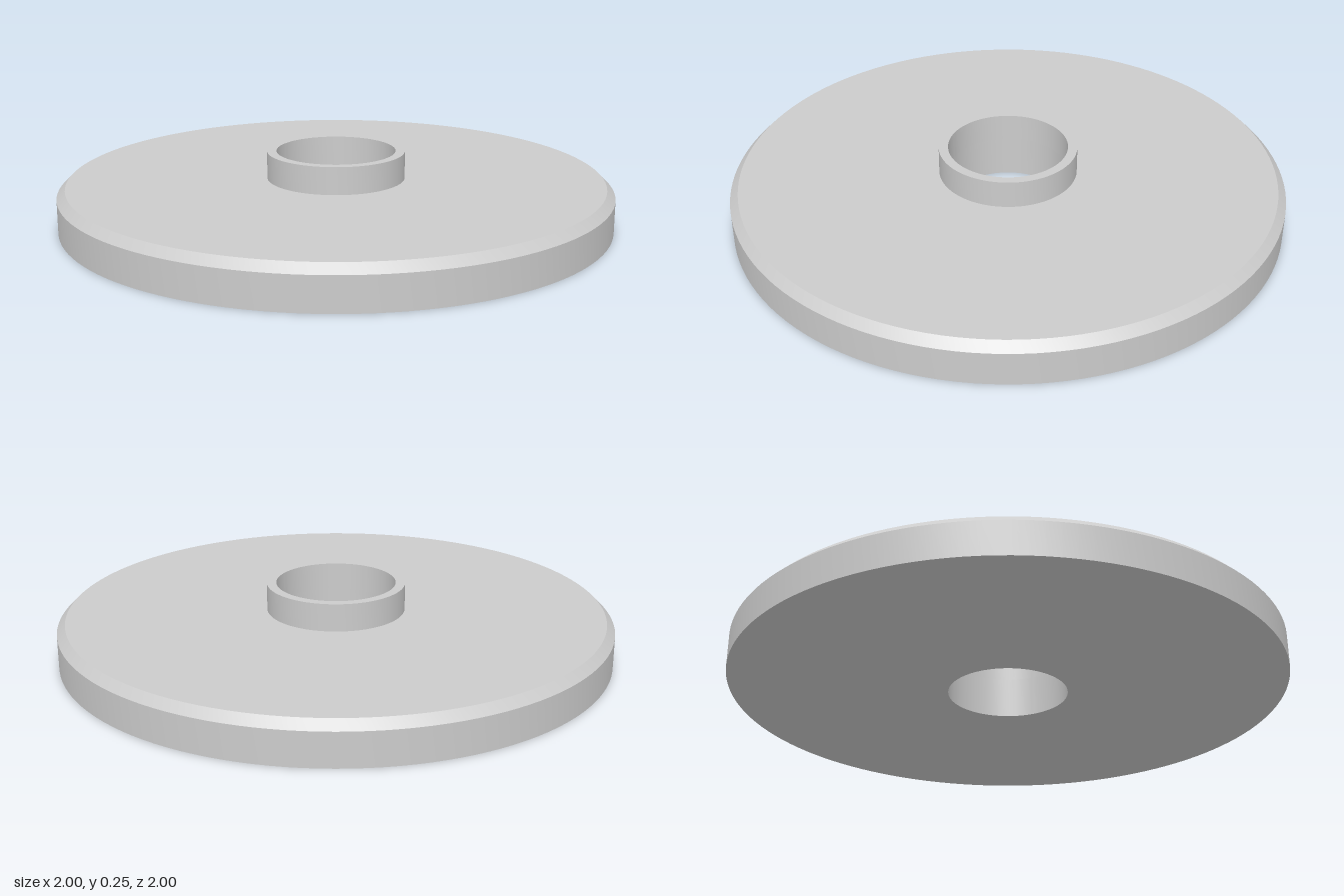
import * as THREE from 'three';
import { toCreasedNormals } from 'three/addons/utils/BufferGeometryUtils.js';

const BORE = 0.216, HUB = 0.25, RADIUS = 1;
const PLATE_TOP = 0.15, HUB_TOP = 0.25, CHAMFER = 0.03;

const material = new THREE.MeshStandardMaterial({ color: 0xcccccc });

// Revolve a [radius, height] profile, keeping its corners sharp
function turned(name, profile) {
  const points = profile.map(([r, y]) => new THREE.Vector2(r, y));
  const geometry = toCreasedNormals(new THREE.LatheGeometry(points, 128), Math.PI / 6);
  const mesh = new THREE.Mesh(geometry, material);
  mesh.name = name;
  return mesh;
}

export function createModel() {
  const model = new THREE.Group();
  model.name = 'flangedDisc';

  // Disc with a chamfered upper rim and a through bore
  model.add(turned('disc', [
    [BORE, PLATE_TOP],
    [BORE, 0],
    [RADIUS, 0],
    [RADIUS, PLATE_TOP - CHAMFER],
    [RADIUS - CHAMFER, PLATE_TOP],
    [HUB, PLATE_TOP],
  ]));

  // Thin-walled collar rising around the bore
  model.add(turned('collar', [
    [HUB, PLATE_TOP],
    [HUB, HUB_TOP],
    [BORE, HUB_TOP],
    [BORE, PLATE_TOP],
  ]));

  return model;
}
